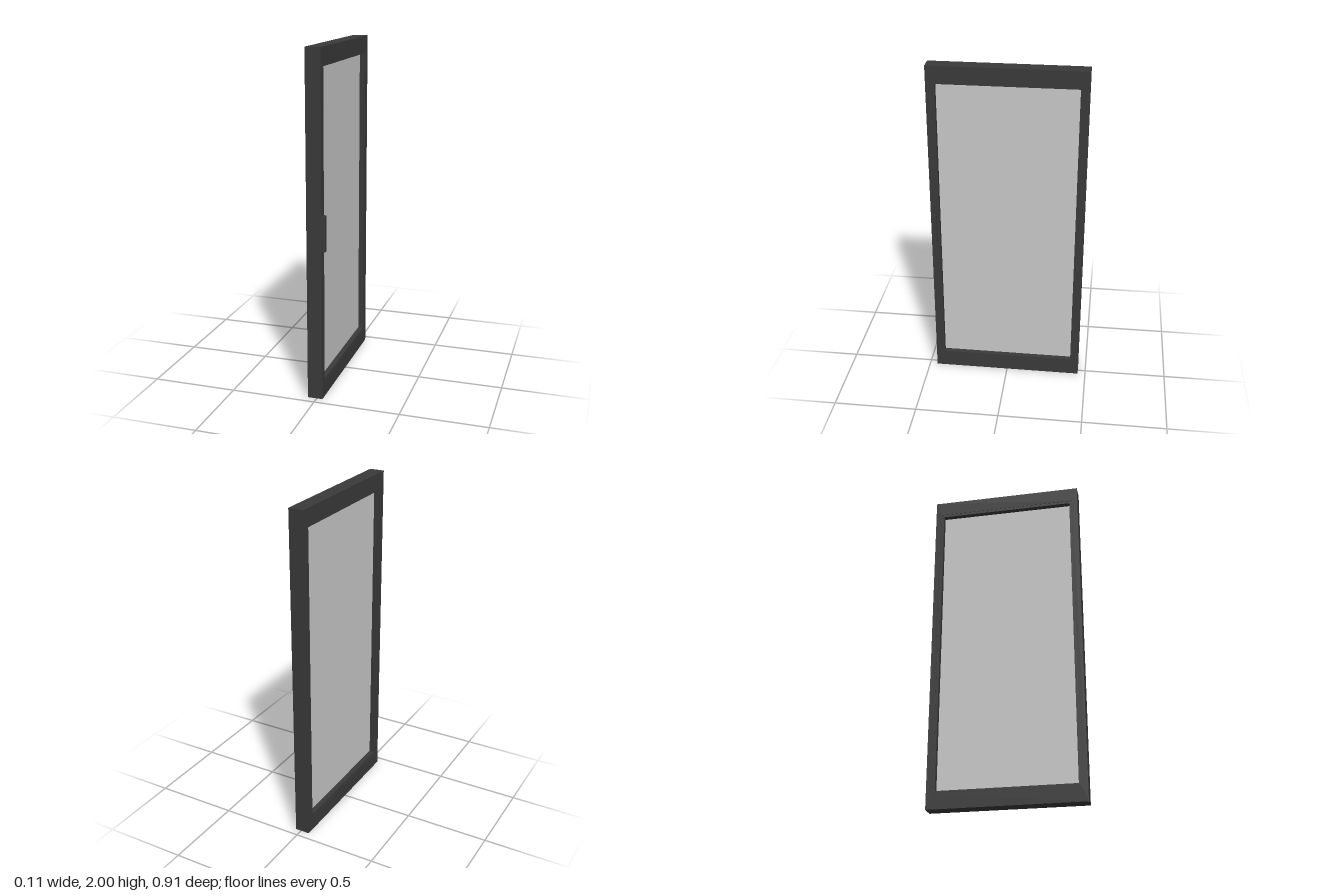
import * as THREE from 'three';

const frameMat = new THREE.MeshStandardMaterial({ color: 0x3a3a3a });
frameMat.name = 'charcoal frame';
const glassMat = new THREE.MeshStandardMaterial({ color: 0xc8c8c8 });
glassMat.name = 'pale glass';

const MID_Y = 1.0;
const MID_X = -0.009;

// Rectangular ring in the z-y plane, extruded along x and centred on MID_X
function ring(name, outerZ, outerY, innerZ, innerY, depth) {
  const rect = (path, w, h) => {
    path.moveTo(-w, -h);
    path.lineTo(w, -h);
    path.lineTo(w, h);
    path.lineTo(-w, h);
    path.closePath();
    return path;
  };
  const shape = rect(new THREE.Shape(), outerZ, outerY);
  shape.holes.push(rect(new THREE.Path(), innerZ, innerY));
  const geo = new THREE.ExtrudeGeometry(shape, { depth, bevelEnabled: false });
  geo.translate(0, 0, -depth / 2);
  geo.rotateY(Math.PI / 2);
  geo.translate(MID_X, MID_Y, 0);
  const mesh = new THREE.Mesh(geo, frameMat);
  mesh.name = name;
  return mesh;
}

function box(name, material, size, position) {
  const mesh = new THREE.Mesh(new THREE.BoxGeometry(...size), material);
  mesh.name = name;
  mesh.position.set(...position);
  return mesh;
}

export function createModel() {
  const door = new THREE.Group();
  door.name = 'glazedDoor';

  // Outer frame and the slim glazing bead set just inside it
  door.add(ring('frame', 0.453, 1.0, 0.417, 0.912, 0.088));
  door.add(ring('glazingBead', 0.417, 0.912, 0.402, 0.896, 0.084));

  // Glass pane held in the middle of the bead
  door.add(box('glassPane', glassMat, [0.02, 1.8, 0.81], [MID_X, MID_Y, 0]));

  // Slim pull handle on the left face
  door.add(box('handle', frameMat, [0.02, 0.204, 0.031], [0.043, 0.987, 0.433]));

  return door;
}
